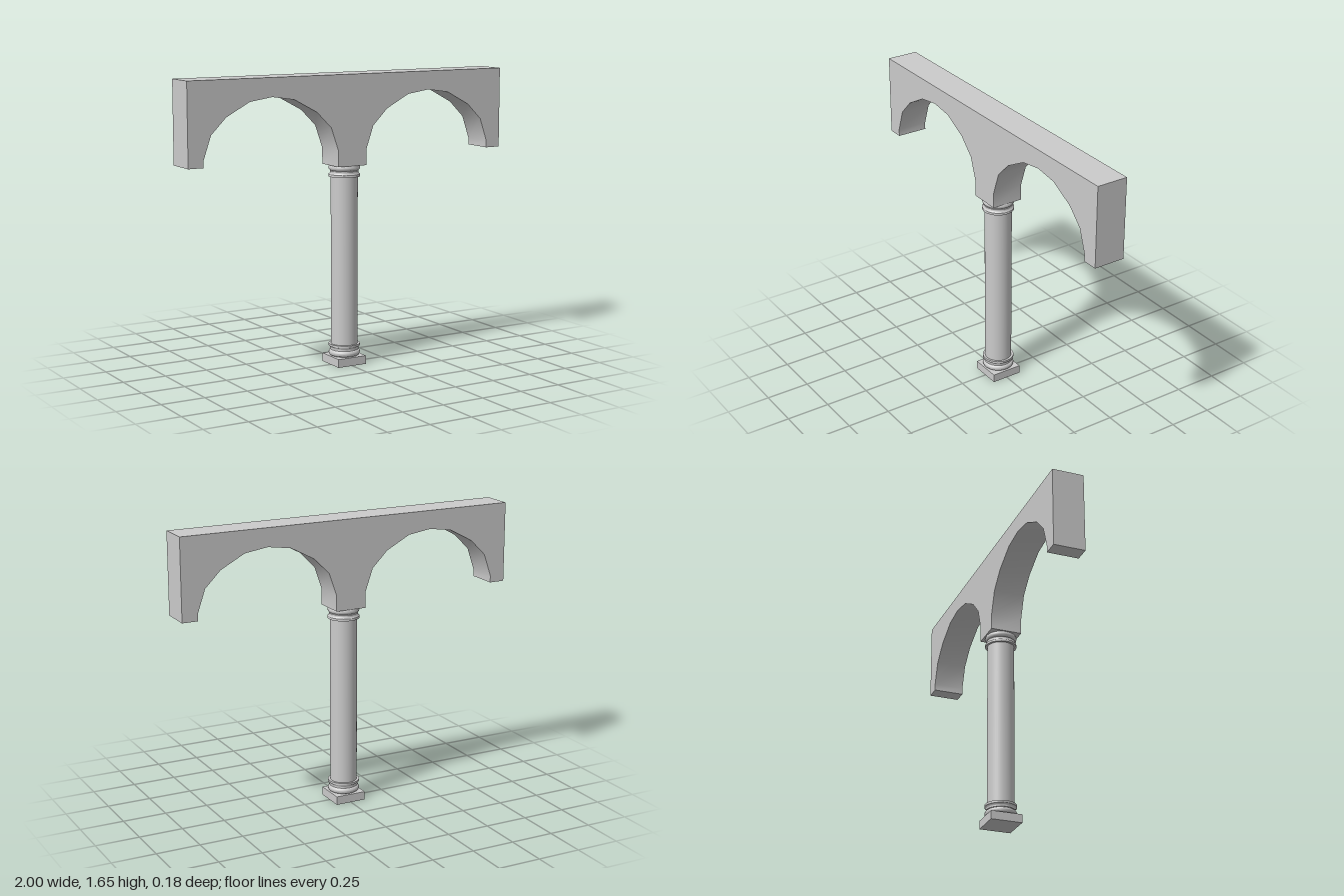
import * as THREE from 'three';
import { toCreasedNormals } from 'three/addons/utils/BufferGeometryUtils.js';

const material = new THREE.MeshStandardMaterial({ color: 0xcccccc });
const HALF = 0.09; // half thickness of wall, pier and plinth

function part(name, geometry, y = 0) {
  const mesh = new THREE.Mesh(geometry, material);
  mesh.name = name;
  mesh.position.y = y;
  return mesh;
}

// Wall with two faceted arches, a central pier and two end stubs
function arcadeGeometry() {
  const halfArch = [[0.41, 1.23], [0.365, 1.36], [0.275, 1.45], [0.135, 1.525]];
  const arch = [
    ...halfArch.map(([x, y]) => [-x, y]),
    [0, 1.545],
    ...[...halfArch].reverse(),
  ];
  const outline = [[-1, 1.65], [-1, 1.19], [-0.91, 1.19]];
  for (const centre of [-0.5, 0.5]) {
    arch.forEach(([x, y]) => outline.push([centre + x, y]));
    if (centre < 0) outline.push([-HALF, 1.14], [HALF, 1.14]);
  }
  outline.push([0.91, 1.19], [1, 1.19], [1, 1.65]);
  const shape = new THREE.Shape(outline.map(([x, y]) => new THREE.Vector2(x, y)));
  const geometry = new THREE.ExtrudeGeometry(shape, { depth: HALF * 2, bevelEnabled: false });
  geometry.translate(0, 0, -HALF);
  return toCreasedNormals(geometry, 0.6);
}

// Turned moulding: rounded bead, recessed neck and flat collar, bottom to top
function mouldingGeometry() {
  const points = [new THREE.Vector2(0, 0), new THREE.Vector2(0.074, 0)];
  for (let i = 0; i <= 8; i++) {
    const a = -Math.PI / 2 + (Math.PI * i) / 8;
    points.push(new THREE.Vector2(0.074 + 0.015 * Math.cos(a), 0.019 + 0.017 * Math.sin(a)));
  }
  for (const [r, y] of [[0.081, 0.038], [0.081, 0.05], [0.084, 0.055], [0.089, 0.057], [0.089, 0.07], [0.074, 0.07], [0, 0.07]])
    points.push(new THREE.Vector2(r, y));
  return toCreasedNormals(new THREE.LatheGeometry(points, 40).toNonIndexed(), 0.7);
}

export function createModel() {
  const model = new THREE.Group();
  model.name = 'arcade';
  model.add(part('archWall', arcadeGeometry()));

  const column = new THREE.Group();
  column.name = 'column';
  column.add(part('plinth', new THREE.BoxGeometry(HALF * 2, 0.048, HALF * 2), 0.024));
  column.add(part('shaft', new THREE.CylinderGeometry(0.076, 0.076, 1.04, 40), 0.6));
  column.add(part('baseMoulding', mouldingGeometry(), 0.047));

  // The capital repeats the base moulding upside down
  const capital = part('capitalMoulding', mouldingGeometry(), 1.145);
  capital.rotation.x = Math.PI;
  column.add(capital);

  model.add(column);
  return model;
}
